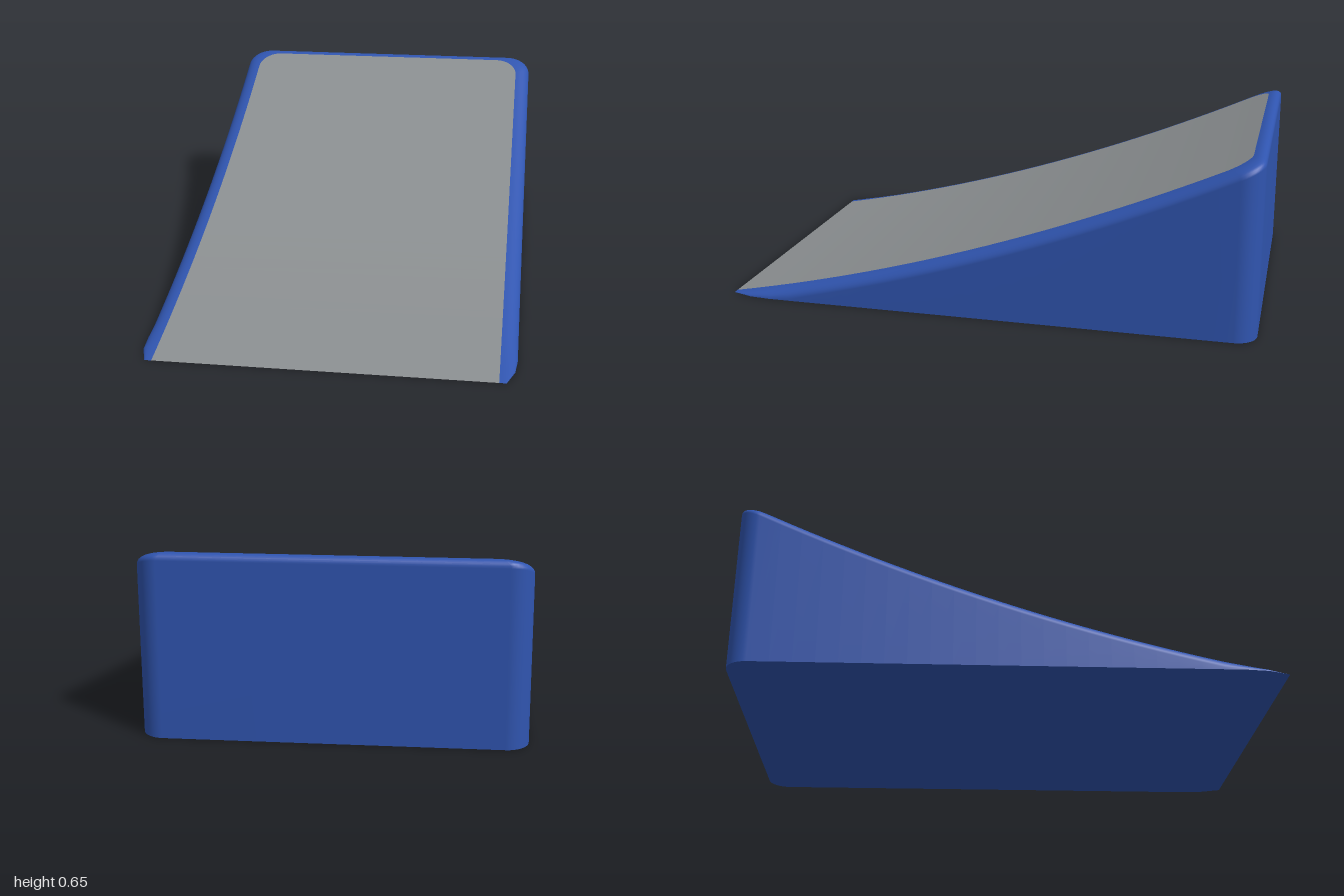
import * as THREE from 'three';

const blue = new THREE.MeshStandardMaterial({ color: 0x3055b0 });
blue.name = 'blue body';
const grey = new THREE.MeshStandardMaterial({ color: 0x8b8f91 });
grey.name = 'grey ramp surface';

// Height of the curved ramp at depth z
const rampHeight = z => 0.1893 * (1 - z) + 0.0727 * (1 - z) ** 2;

// Half outline from the front to the rounded back corner, on the +x side
function halfOutline(halfWidth, back, radius, taper) {
  const points = [], steps = 24, arcSteps = 10;
  for (let i = 0; i < steps; i++) {
    const z = 1 - (1 - back - radius) * i / steps;
    const t = Math.max(0, (z - 0.8) / 0.2);
    points.push([halfWidth - taper * t ** 3, z]);
  }
  for (let i = 0; i <= arcSteps; i++) {
    const a = i / arcSteps * Math.PI / 2;
    points.push([halfWidth - radius + radius * Math.cos(a), back + radius - radius * Math.sin(a)]);
  }
  return points;
}
const mirrored = half => [...half, ...half.map(([x, z]) => [-x, z]).reverse()];

function surface(positions, index) {
  const geometry = new THREE.BufferGeometry();
  geometry.setAttribute('position', new THREE.Float32BufferAttribute(positions, 3));
  geometry.setIndex(index);
  geometry.computeVertexNormals();
  return geometry;
}

// Strips joining rows of equal length
function loft(rows) {
  const n = rows[0].length, index = [];
  for (let k = 0; k < rows.length - 1; k++) {
    for (let i = 0; i < n - 1; i++) {
      const a = k * n + i, b = a + n;
      index.push(a, b, a + 1, b, b + 1, a + 1);
    }
  }
  return surface(rows.flat(2), index);
}

// Sheet spanning from side to side across a half outline
function sheet(half, height, faceDown) {
  const positions = [], index = [];
  half.forEach(([x, z], i) => {
    positions.push(-x, height(z), z, x, height(z), z);
    if (i === half.length - 1) return;
    const l = i * 2, r = l + 1;
    if (faceDown) index.push(l, r + 2, r, l, l + 2, r + 2);
    else index.push(l, r, r + 2, l, r + 2, l + 2);
  });
  return surface(positions, index);
}

export function createModel() {
  const model = new THREE.Group();
  model.name = 'ramp';
  const add = (name, geometry, material) => {
    const mesh = new THREE.Mesh(geometry, material);
    mesh.name = name;
    model.add(mesh);
  };

  const innerHalf = halfOutline(0.605, -0.95, 0.09, 0);
  const outerHalf = halfOutline(0.665, -1, 0.08, 0.035);
  const inner = mirrored(innerHalf), outer = mirrored(outerHalf);

  // Rounded rim between the ramp surface and the walls
  const rows = [], steps = 8;
  for (let k = 0; k <= steps; k++) {
    const a = k / steps * Math.PI / 2;
    rows.push(inner.map(([x, z], i) => {
      const px = THREE.MathUtils.lerp(x, outer[i][0], Math.sin(a));
      const pz = THREE.MathUtils.lerp(z, outer[i][1], Math.sin(a));
      const h = rampHeight(pz);
      return [px, h - Math.min(0.042, h) * (1 - Math.cos(a)), pz];
    }));
  }
  // Walls continue the rim straight down
  rows.push(outer.map(([x, z]) => [x, 0, z]));
  add('rimAndWalls', loft(rows), blue);

  add('rampSurface', sheet(innerHalf, rampHeight, false), grey);
  add('base', sheet(outerHalf, () => 0, true), blue);
  return model;
}
